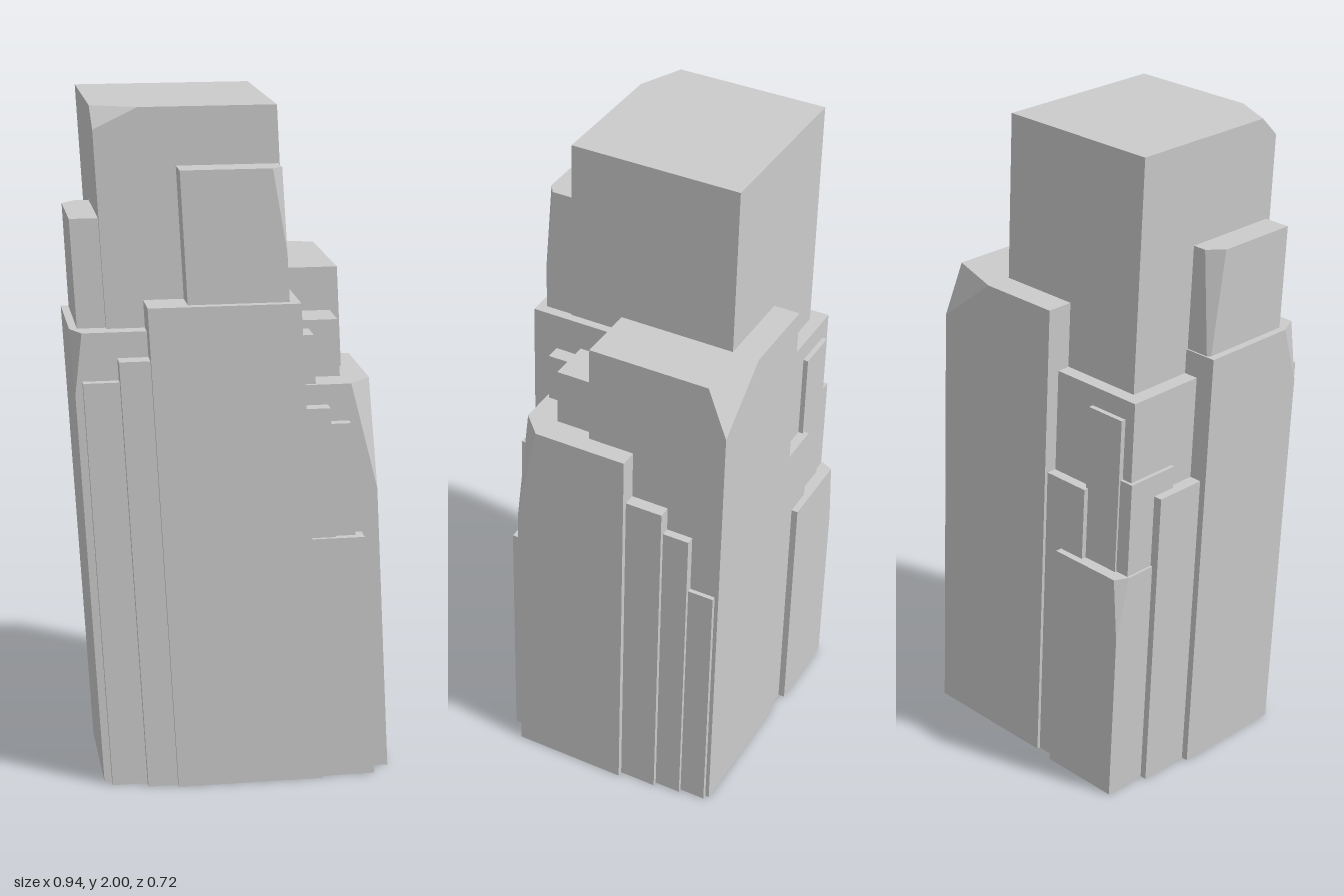
import * as THREE from 'three';
import { ConvexGeometry } from 'three/addons/geometries/ConvexGeometry.js';

const LEAN = 0.055; // sideways drift towards -x per unit of height

// Leaning rock column. x0..x1 are measured at its top, z0..z1 in depth, h is its height.
// cut = [sideX, sideZ, dx, dz, dy] breaks off one top corner.
function columnGeometry(x0, x1, z0, z1, h, cut) {
  const pts = [];
  const add = (x, y, z) => pts.push(new THREE.Vector3(x + LEAN * (h - y), y, z));
  for (const sx of [-1, 1]) {
    for (const sz of [-1, 1]) {
      const x = sx < 0 ? x0 : x1;
      const z = sz < 0 ? z0 : z1;
      add(x, 0, z);
      if (cut && cut[0] === sx && cut[1] === sz) {
        const [, , dx, dz, dy] = cut;
        add(x - sx * dx, h, z);
        add(x, h, z - sz * dz);
        add(x, h - dy, z);
      } else {
        add(x, h, z);
      }
    }
  }
  return new ConvexGeometry(pts);
}

export function createModel() {
  const group = new THREE.Group();
  group.name = 'rockColumns';
  const rock = new THREE.MeshStandardMaterial({ color: 0xcccccc, flatShading: true });

  const columns = {
    // large columns
    mainColumn: [-0.40, 0.12, -0.27, 0.25, 2, [-1, 1, 0.13, 0.06, 0.06]],
    backColumn: [-0.11, 0.33, -0.35, 0.085, 1.5, [1, -1, 0.185, 0.06, 0.15]],
    frontColumn: [-0.26, 0.175, -0.07, 0.36, 1.455],
    rightColumn: [0.04, 0.40, -0.06, 0.295, 1.2, [1, 1, 0.065, 0.065, 0.32]],
    leftColumn: [-0.47, -0.11, -0.065, 0.295, 1.375, [-1, 1, 0.03, 0.06, 0.18]],
    // upper ledges
    upperFrontLedge: [-0.165, 0.125, 0.05, 0.335, 1.835, [1, 1, 0.03, 0.022, 0.24]],
    upperLeftLedge: [-0.465, -0.17, -0.06, 0.235, 1.69, [-1, -1, 0.04, 0.042, 0.4]],
    // front left steps
    frontLeftStepOuter: [-0.44, -0.2, 0.08, 0.32, 1.235],
    frontLeftStepInner: [-0.34, -0.1, 0.1, 0.345, 1.3],
    // front right steps
    frontRightStepHigh: [0.08, 0.31, -0.03, 0.205, 1.37],
    frontRightStepMiddle: [0.0, 0.225, 0.06, 0.285, 1.345],
    frontRightStepInner: [0.08, 0.267, 0.15, 0.336, 1.14],
    frontRightStepOuter: [0.15, 0.33, 0.145, 0.325, 1.09],
    frontRightStepLow: [0.215, 0.372, 0.18, 0.347, 0.75],
    // steps along the right side towards the back
    rightStepHigh: [0.2, 0.392, -0.176, 0.02, 1.05],
    rightStepMiddle: [0.2, 0.383, -0.258, -0.06, 0.975],
    rightStepLow: [0.22, 0.382, -0.338, -0.17, 0.79],
    // back left steps
    backLeftStepHigh: [-0.407, -0.1, -0.31, -0.02, 1.3],
    backLeftStepUpper: [-0.37, -0.24, -0.325, -0.12, 1.24],
    backLeftStepCorner: [-0.405, -0.25, -0.319, -0.15, 1.05],
    backLeftStepMiddle: [-0.235, -0.05, -0.34, -0.15, 0.98],
    backLeftStepLow: [-0.395, -0.135, -0.36, -0.1, 0.75, [-1, -1, 0.02, 0.04, 0.2]],
    leftSideStep: [-0.428, -0.24, -0.225, -0.03, 0.98],
  };

  for (const [name, args] of Object.entries(columns)) {
    const mesh = new THREE.Mesh(columnGeometry(...args), rock);
    mesh.name = name;
    group.add(mesh);
  }
  return group;
}
